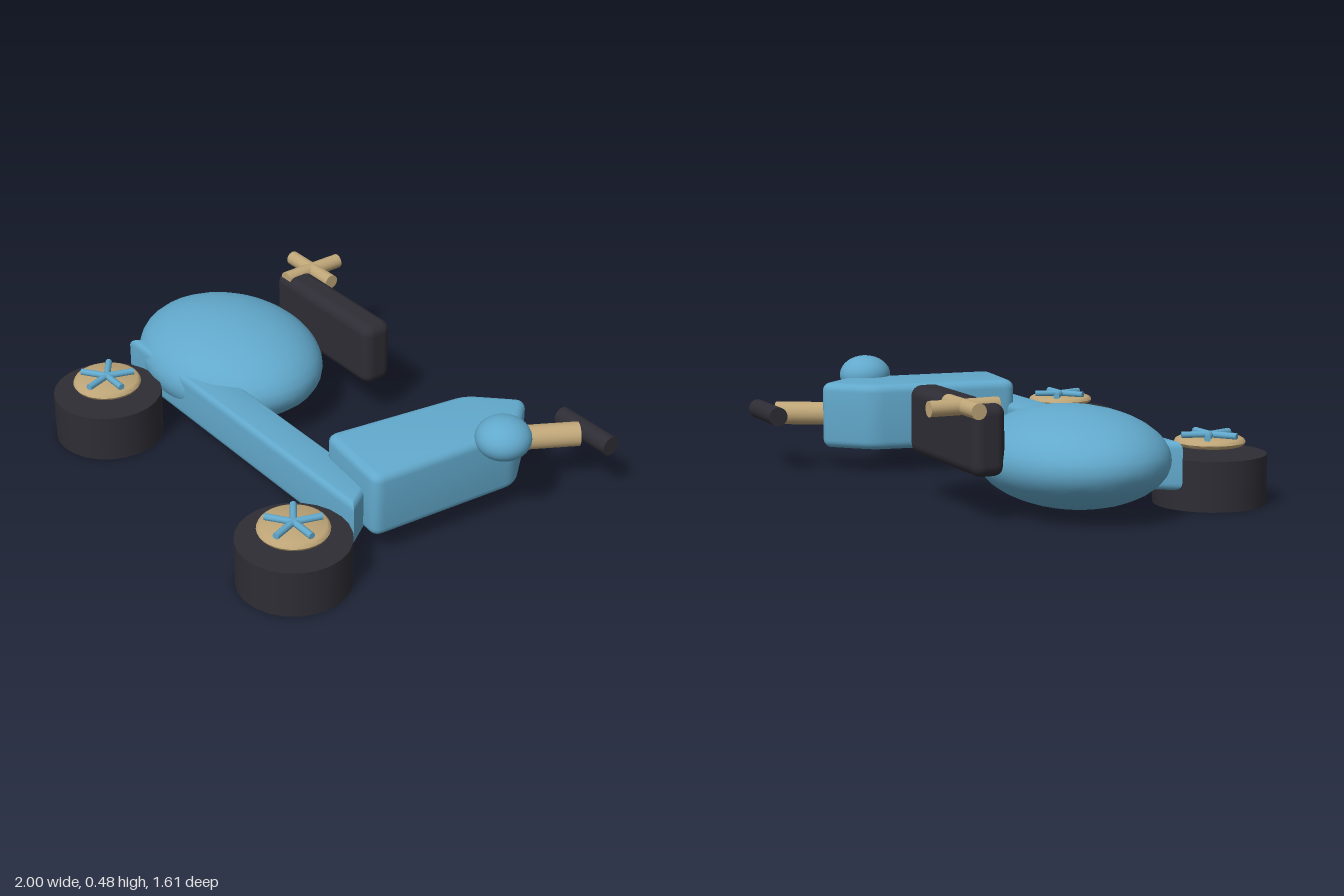
import * as THREE from 'three';
import { toCreasedNormals } from 'three/addons/utils/BufferGeometryUtils.js';
import { RoundedBoxGeometry } from 'three/addons/geometries/RoundedBoxGeometry.js';

export function createModel() {
  const model = new THREE.Group();
  const material = (name, color) => {
    const m = new THREE.MeshStandardMaterial({ color });
    m.name = name;
    return m;
  };
  const blue = material('sky blue', 0x62a9cc);
  const tan = material('brass tan', 0xbfa678);
  const dark = material('dark rubber', 0x2e2d35);

  const add = (name, geometry, mat, x = 0, y = 0, z = 0, parent = model) => {
    const mesh = new THREE.Mesh(geometry, mat);
    mesh.name = name;
    mesh.position.set(x, y, z);
    parent.add(mesh);
    return mesh;
  };

  // Ellipsoid with its poles along z
  const ellipsoid = (rx, ry, rz) =>
    new THREE.SphereGeometry(1, 32, 20).rotateX(Math.PI / 2).scale(rx, ry, rz);

  // Bevelled slab from an outline of [x, z] corners, between two heights
  const slab = (corners, y0, y1, bevel, cut) => {
    const pts = corners.map(([x, z]) => new THREE.Vector2(x, -z));
    const shape = new THREE.Shape();
    pts.forEach((p, i) => {
      const prev = pts[(i + pts.length - 1) % pts.length];
      const next = pts[(i + 1) % pts.length];
      const a = p.clone().add(prev.clone().sub(p).setLength(cut));
      const b = p.clone().add(next.clone().sub(p).setLength(cut));
      if (i === 0) shape.moveTo(a.x, a.y);
      else shape.lineTo(a.x, a.y);
      if (cut > 0) shape.quadraticCurveTo(p.x, p.y, b.x, b.y);
    });
    shape.closePath();
    const geometry = new THREE.ExtrudeGeometry(shape, {
      depth: y1 - y0 - 2 * bevel, curveSegments: 6,
      bevelThickness: bevel, bevelSize: bevel, bevelOffset: -bevel, bevelSegments: 5,
    });
    geometry.rotateX(-Math.PI / 2).translate(0, y0 + bevel, 0);
    return toCreasedNormals(geometry, 0.6);
  };

  // Rear body, footboard and leg shield
  add('rearBody', ellipsoid(0.455, 0.198, 0.364), blue, -0.545, 0.216, 0.004);
  add('footboard', slab(
    [[-0.815, 0.345], [0.755, 0.345], [0.65, 0.18], [-0.71, 0.18]], 0.093, 0.286, 0.03, 0), blue);
  add('legShield', slab(
    [[0.405, 0.218], [0.775, 0.262], [0.838, -0.41], [0.685, -0.59], [0.508, -0.41]],
    0.102, 0.385, 0.035, 0.05), blue);

  // Headlight, steering stem and handlebar grip
  add('headlight', ellipsoid(0.112, 0.085, 0.112), blue, 0.854, 0.388, -0.312);
  const stem = add('steeringStem', new THREE.CylinderGeometry(0.05, 0.05, 0.32, 24), tan, 0.773, 0.242, -0.591);
  stem.quaternion.setFromUnitVectors(new THREE.Vector3(0, 1, 0), new THREE.Vector3(0.5, 0, -0.866));
  add('handleGrip', new THREE.CylinderGeometry(0.041, 0.041, 0.284, 24).rotateZ(Math.PI / 2),
    dark, 0.858, 0.244, -0.766);

  // Seat with crossed rods on top
  add('seat', new RoundedBoxGeometry(0.652, 0.28, 0.137, 5, 0.045), dark, -0.344, 0.318, -0.397);
  const rod = () => new THREE.CylinderGeometry(0.031, 0.031, 0.283, 20);
  add('crossRodWide', rod().rotateZ(Math.PI / 2), tan, -0.604, 0.446, -0.482);
  add('crossRodLong', rod().rotateX(Math.PI / 2), tan, -0.604, 0.446, -0.482);

  // Wheels: tyre, rounded hub disc and five spokes
  const hubProfile = [[0, -0.015], [0.128, -0.015], [0.138, -0.009], [0.142, 0],
    [0.138, 0.009], [0.128, 0.015], [0, 0.015]].map(([r, y]) => new THREE.Vector2(r, y));
  const hubGeometry = toCreasedNormals(new THREE.LatheGeometry(hubProfile, 32), 0.7);
  const tyreGeometry = new THREE.CylinderGeometry(0.227, 0.227, 0.2, 24);
  const spokeGeometry = new THREE.CylinderGeometry(0.014, 0.014, 0.115, 10)
    .rotateZ(Math.PI / 2).translate(0.0575, 0, 0);
  for (const [name, x] of [['rearWheel', -0.631], ['frontWheel', 0.683]]) {
    const wheel = new THREE.Group();
    wheel.name = name;
    wheel.position.set(x, 0, 0.577);
    model.add(wheel);
    add('tyre', tyreGeometry, dark, 0, 0.1, 0, wheel);
    add('hub', hubGeometry, tan, 0, 0.246, 0, wheel);
    for (let i = 0; i < 5; i++) {
      add('spoke', spokeGeometry, blue, 0, 0.272, 0, wheel).rotation.y = (i * Math.PI * 2) / 5;
    }
  }
  return model;
}
